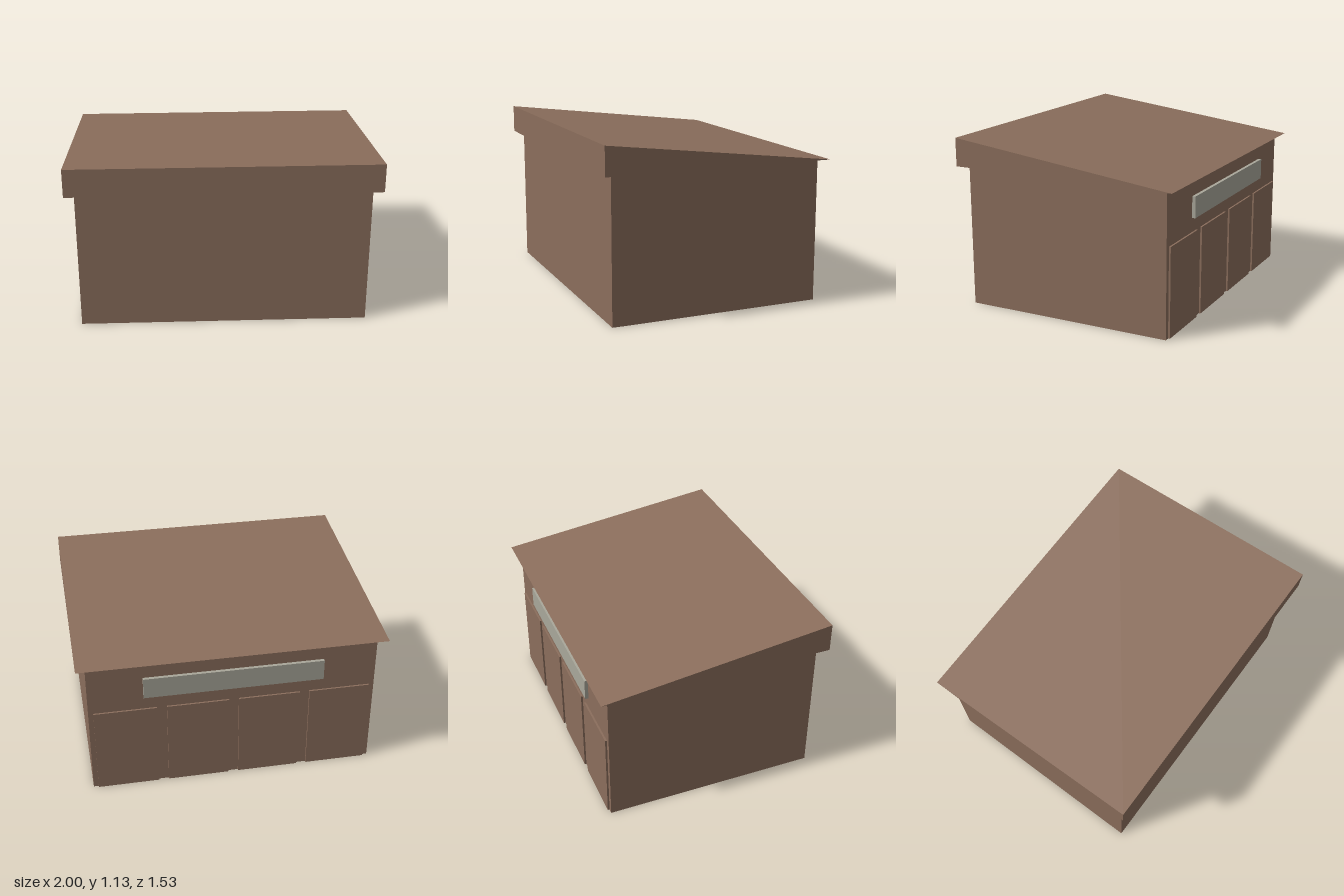
import * as THREE from 'three';

export function createModel() {
  const model = new THREE.Group();
  const brown = new THREE.MeshStandardMaterial({ color: 0x8b6e5c });
  brown.name = 'brown';
  const grey = new THREE.MeshStandardMaterial({ color: 0xa9a79a });
  grey.name = 'pale grey';

  const add = (name, geometry, material, x = 0, y = 0, z = 0) => {
    const mesh = new THREE.Mesh(geometry, material);
    mesh.name = name;
    mesh.position.set(x, y, z);
    model.add(mesh);
    return mesh;
  };

  const wallHeight = 0.943;
  const wallDepth = 1.41;
  const wallBack = -wallDepth / 2;

  // Main building block
  add('walls', new THREE.BoxGeometry(1.88, wallHeight, wallDepth), brown, 0, wallHeight / 2, 0);

  // Overhanging wedge roof, tall at the front and tapering to nothing at the back
  const profile = new THREE.Shape([
    new THREE.Vector2(-0.763, 0),
    new THREE.Vector2(0.763, 0),
    new THREE.Vector2(-0.763, 0.187),
  ]);
  const roof = new THREE.ExtrudeGeometry(profile, { depth: 2, bevelEnabled: false });
  roof.translate(0, 0, -1);
  roof.rotateY(Math.PI / 2); // profile x becomes -z
  add('roof', roof, brown, 0, wallHeight, 0);

  // Row of four raised doors along the back wall
  const doorHeight = 0.588;
  const doorDepth = 0.012;
  for (let i = 0; i < 4; i++) {
    add('door', new THREE.BoxGeometry(0.405, doorHeight, doorDepth), brown,
      (i - 1.5) * 0.47, doorHeight / 2, wallBack - doorDepth / 2);
  }

  // Long blank board standing just off the wall above the doors
  add('signBoard', new THREE.BoxGeometry(1.172, 0.14, 0.022), grey, 0, 0.755, wallBack - 0.017);

  return model;
}
